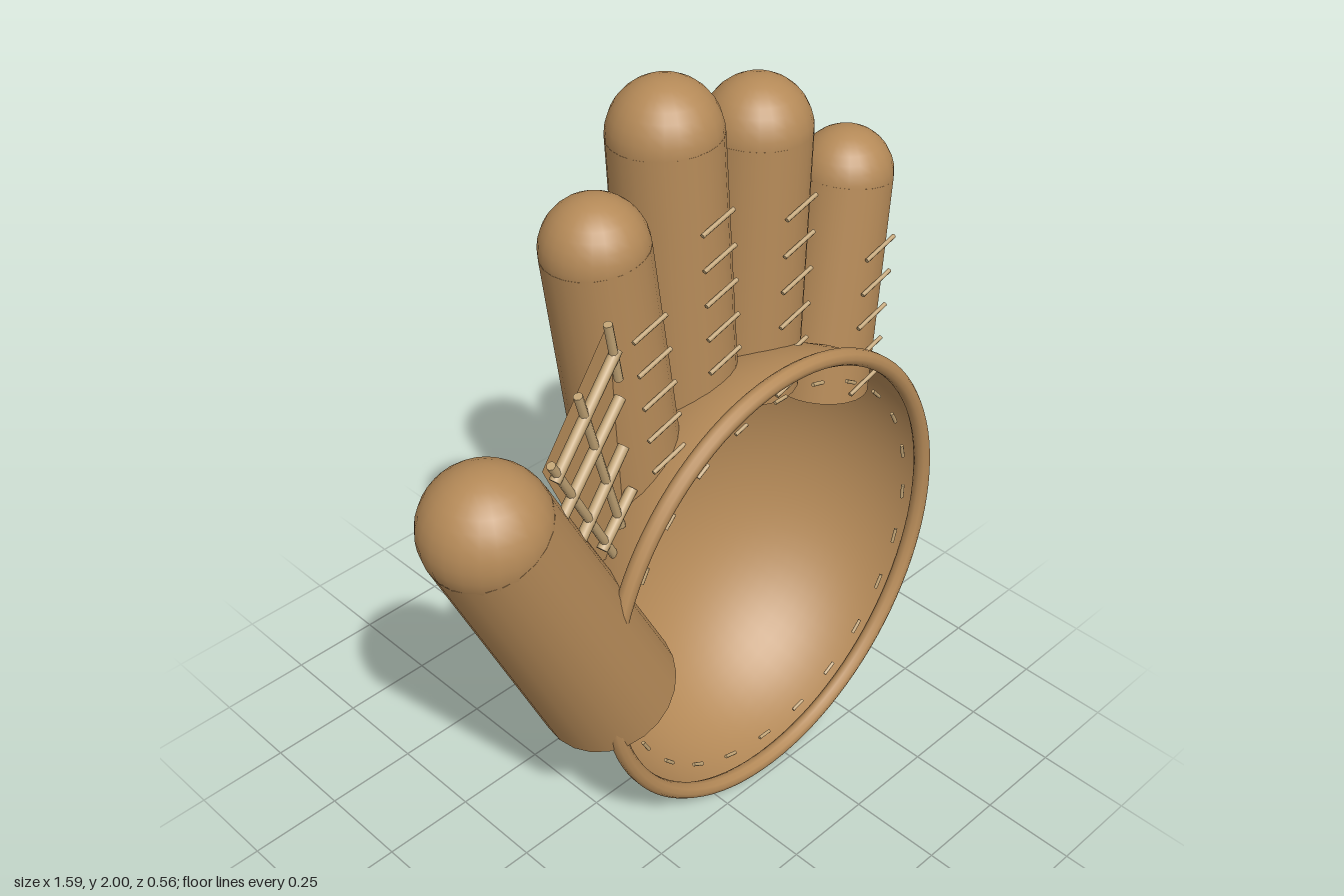
import * as THREE from 'three';

const V = (x, y, z) => new THREE.Vector3(x, y, z);
const UP = V(0, 1, 0);

export function createModel() {
  const leather = new THREE.MeshStandardMaterial({ color: 0xb58a58, side: THREE.DoubleSide });
  leather.name = 'leather';
  const lacing = new THREE.MeshStandardMaterial({ color: 0xc2a475 });
  lacing.name = 'lacing';

  const glove = new THREE.Group();
  glove.name = 'baseballGlove';

  const add = (parent, name, geometry, material) => {
    const mesh = new THREE.Mesh(geometry, material);
    mesh.name = name;
    parent.add(mesh);
    return mesh;
  };

  // Rod or tapered cylinder running from a to b
  const rod = (parent, name, a, b, ra, rb, material, sides = 8) => {
    const dir = b.clone().sub(a);
    const mesh = add(parent, name, new THREE.CylinderGeometry(rb, ra, dir.length(), sides), material);
    mesh.position.copy(a).lerp(b, 0.5);
    mesh.quaternion.setFromUnitVectors(UP, dir.normalize());
    return mesh;
  };

  // Palm: half ellipsoid bowl, open towards the front
  const cx = 0.19, cy = 0.658, rimZ = 0.215;
  const bowl = new THREE.SphereGeometry(1, 64, 24, 0, Math.PI * 2, 0, Math.PI / 2);
  bowl.rotateX(-Math.PI / 2);
  bowl.scale(0.58, 0.635, 0.495);
  add(glove, 'palm', bowl, leather).position.set(cx, cy, rimZ);

  // Rolled edge around the palm
  const onEllipse = (angle, rx, ry, z) => V(cx + rx * Math.cos(angle), cy + ry * Math.sin(angle), z);
  const rimPoints = [];
  for (let i = 0; i < 32; i++) rimPoints.push(onEllipse(i / 32 * Math.PI * 2, 0.578, 0.634, 0.22));
  const rimCurve = new THREE.CatmullRomCurve3(rimPoints, true);
  add(glove, 'rim', new THREE.TubeGeometry(rimCurve, 96, 0.022, 10, true), leather);

  // Short stitches just inside the rim
  const rimStitches = new THREE.Group();
  rimStitches.name = 'rimStitches';
  glove.add(rimStitches);
  for (let i = 0; i < 24; i++) {
    const t = -Math.PI / 2 + i / 24 * Math.PI * 2;
    rod(rimStitches, 'rimStitch', onEllipse(t - 0.038, 0.52, 0.56, 0.205),
      onEllipse(t + 0.038, 0.52, 0.56, 0.205), 0.005, 0.005, lacing, 6);
  }

  // Fingers and thumb: tapered tube with a round tip
  const finger = (name, base, tip, rBase, rTip) => {
    const group = new THREE.Group();
    group.name = name;
    glove.add(group);
    rod(group, name + 'Tube', base, tip, rBase, rTip, leather, 24);
    const cap = add(group, name + 'Tip', new THREE.SphereGeometry(rTip, 24, 16), leather);
    cap.position.copy(tip);
    return group;
  };

  finger('thumb', V(-0.278, 0.52, 0.085), V(-0.645, 1.25, 0.12), 0.18, 0.155);

  // name, base, tip, base radius, tip radius, stitch rows: first y, spacing, count
  const fingers = [
    ['indexFinger', V(-0.13, 1.05, 0.03), V(-0.215, 1.715, 0.01), 0.128, 0.125, 1.1, 0.092, 6],
    ['middleFinger', V(0.09, 1.145, -0.025), V(0.06, 1.865, -0.055), 0.14, 0.135, 1.15, 0.091, 7],
    ['ringFinger', V(0.32, 1.105, -0.03), V(0.345, 1.783, -0.04), 0.135, 0.132, 1.15, 0.096, 6],
    ['littleFinger', V(0.548, 1.005, 0.02), V(0.635, 1.573, -0.008), 0.13, 0.12, 1.06, 0.09, 5],
  ];
  for (const [name, base, tip, rBase, rTip, y0, step, count] of fingers) {
    const group = finger(name, base, tip, rBase, rTip);
    for (let i = 0; i < count; i++) {
      const y = y0 + i * step;
      const t = (y - base.y) / (tip.y - base.y);
      const c = base.clone().lerp(tip, t);
      const z = c.z + rBase + (rTip - rBase) * t + 0.008;
      rod(group, 'fingerStitch', V(c.x - 0.04, y - 0.014, z), V(c.x + 0.06, y + 0.016, z),
        0.006, 0.006, lacing, 6);
    }
  }

  // Webbing panel between thumb and index finger
  const webZ = x => 0.125 - (x + 0.27) * 0.2;
  const corners = [[-0.52, 1.36], [-0.26, 1.62], [-0.2, 1.05], [-0.25, 0.94], [-0.34, 0.98]];
  const panel = new THREE.ShapeGeometry(new THREE.Shape(corners.map(([x, y]) => new THREE.Vector2(x, y))));
  const pos = panel.attributes.position;
  for (let i = 0; i < pos.count; i++) pos.setZ(i, webZ(pos.getX(i)) - 0.012);
  panel.computeVertexNormals();
  add(glove, 'webPanel', panel, leather);

  // Crossed laces over the webbing: x1, y1, x2, y2, radius
  const laces = [
    [-0.51, 1.38, -0.27, 0.94, 0.011],
    [-0.41, 1.5, -0.265, 1.05, 0.011],
    [-0.3, 1.62, -0.265, 1.46, 0.011],
    [-0.5, 1.33, -0.27, 1.54, 0.014],
    [-0.5, 1.2, -0.26, 1.41, 0.014],
    [-0.42, 1.11, -0.25, 1.27, 0.014],
    [-0.34, 1.03, -0.22, 1.13, 0.014],
    [-0.3, 0.95, -0.18, 1.03, 0.012],
  ];
  const web = new THREE.Group();
  web.name = 'webLacing';
  glove.add(web);
  for (const [x1, y1, x2, y2, r] of laces) {
    rod(web, 'webLace', V(x1, y1, webZ(x1) + 0.008), V(x2, y2, webZ(x2) + 0.008), r, r, lacing);
  }

  return glove;
}
